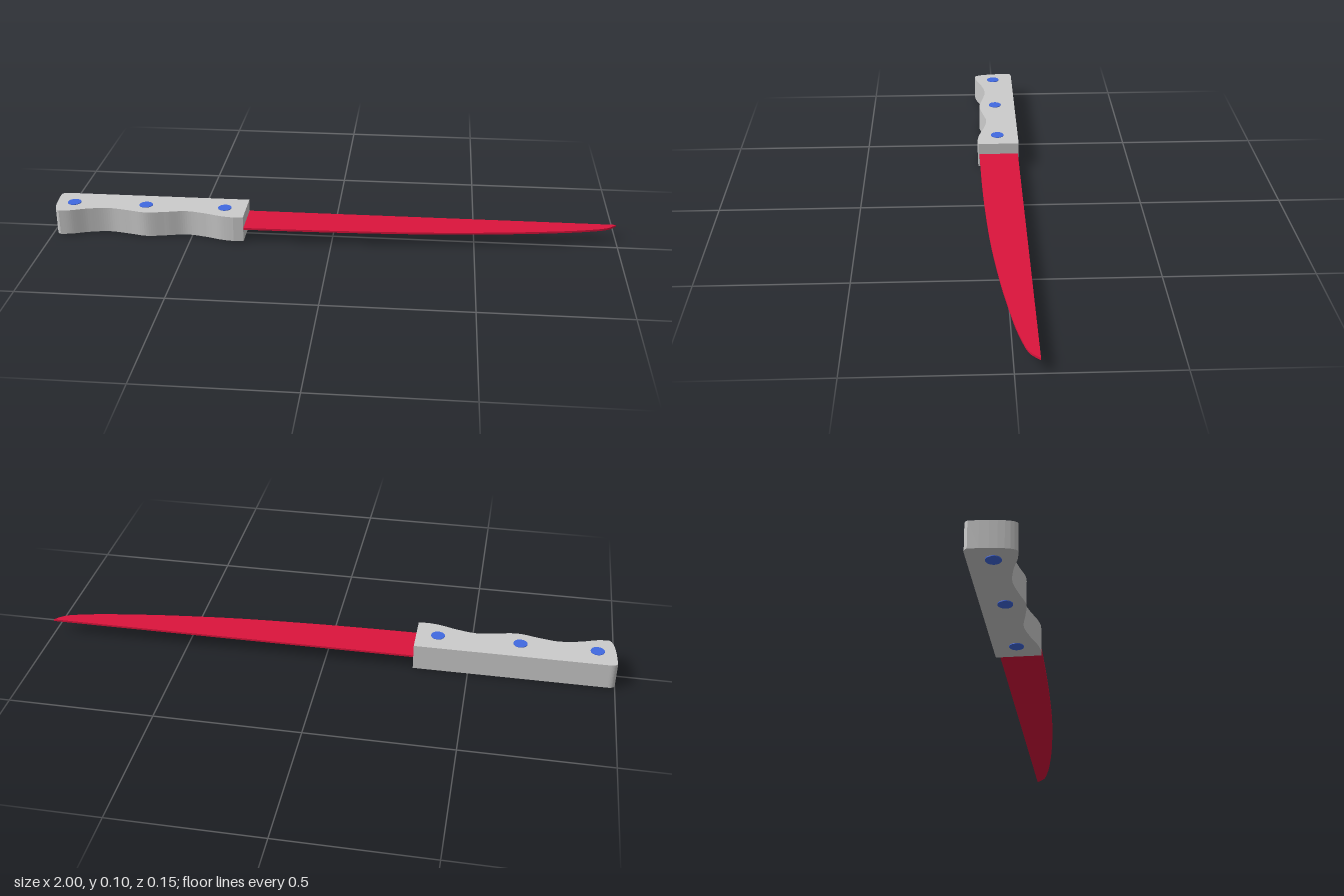
import * as THREE from 'three';

const material = (color) => new THREE.MeshStandardMaterial({ color });

// Extrudes an outline drawn in (x, -z) upwards from y0 to y1
function slab(name, shape, y0, y1, mat) {
  const geometry = new THREE.ExtrudeGeometry(shape, {
    depth: y1 - y0, bevelEnabled: false, curveSegments: 8,
  });
  geometry.rotateX(-Math.PI / 2).translate(0, y0, 0);
  const mesh = new THREE.Mesh(geometry, mat);
  mesh.name = name;
  return mesh;
}

const points = (list) => list.map(([x, z]) => new THREE.Vector2(x, -z));

export function createModel() {
  const knife = new THREE.Group();
  knife.name = 'knife';

  // Handle with a wavy finger grip along the front edge
  const grip = new THREE.Shape();
  grip.moveTo(-1, 0.066);
  grip.quadraticCurveTo(-0.995, -0.074, -0.97, -0.075);
  grip.splineThru(points([
    [-0.93, 0.069], [-0.87, 0.049], [-0.8, 0.038], [-0.73, 0.049], [-0.66, 0.063],
    [-0.59, 0.052], [-0.52, 0.039], [-0.45, 0.051], [-0.39, 0.069], [-0.345, 0.076],
  ]));
  grip.lineTo(-0.31, -0.074);
  grip.lineTo(-0.31, 0.078);
  grip.lineTo(-0.975, 0.078);
  grip.quadraticCurveTo(-0.995, 0.078, -1, 0.066);
  knife.add(slab('handle', grip, 0.003, 0.095, material(0xcccccc)));

  // Thin blade with a straight spine and a curved cutting edge
  const edge = new THREE.Shape();
  edge.moveTo(-0.33, 0.075);
  edge.lineTo(-0.33, -0.07);
  edge.lineTo(-0.31, -0.07);
  edge.splineThru(points([
    [-0.1, 0.067], [0.1, 0.061], [0.35, 0.048], [0.6, 0.024],
    [0.8, -0.004], [0.9, -0.024], [0.965, -0.044], [1, -0.075],
  ]));
  knife.add(slab('blade', edge, 0.046, 0.053, material(0xdc143c)));

  // Rivets passing through the handle, proud on both faces
  const rivetGeometry = new THREE.CylinderGeometry(0.024, 0.024, 0.097, 32);
  const rivetMaterial = material(0x4169e1);
  for (const x of [-0.933, -0.671, -0.386]) {
    const rivet = new THREE.Mesh(rivetGeometry, rivetMaterial);
    rivet.name = 'rivet';
    rivet.position.set(x, 0.0485, 0);
    knife.add(rivet);
  }

  return knife;
}
